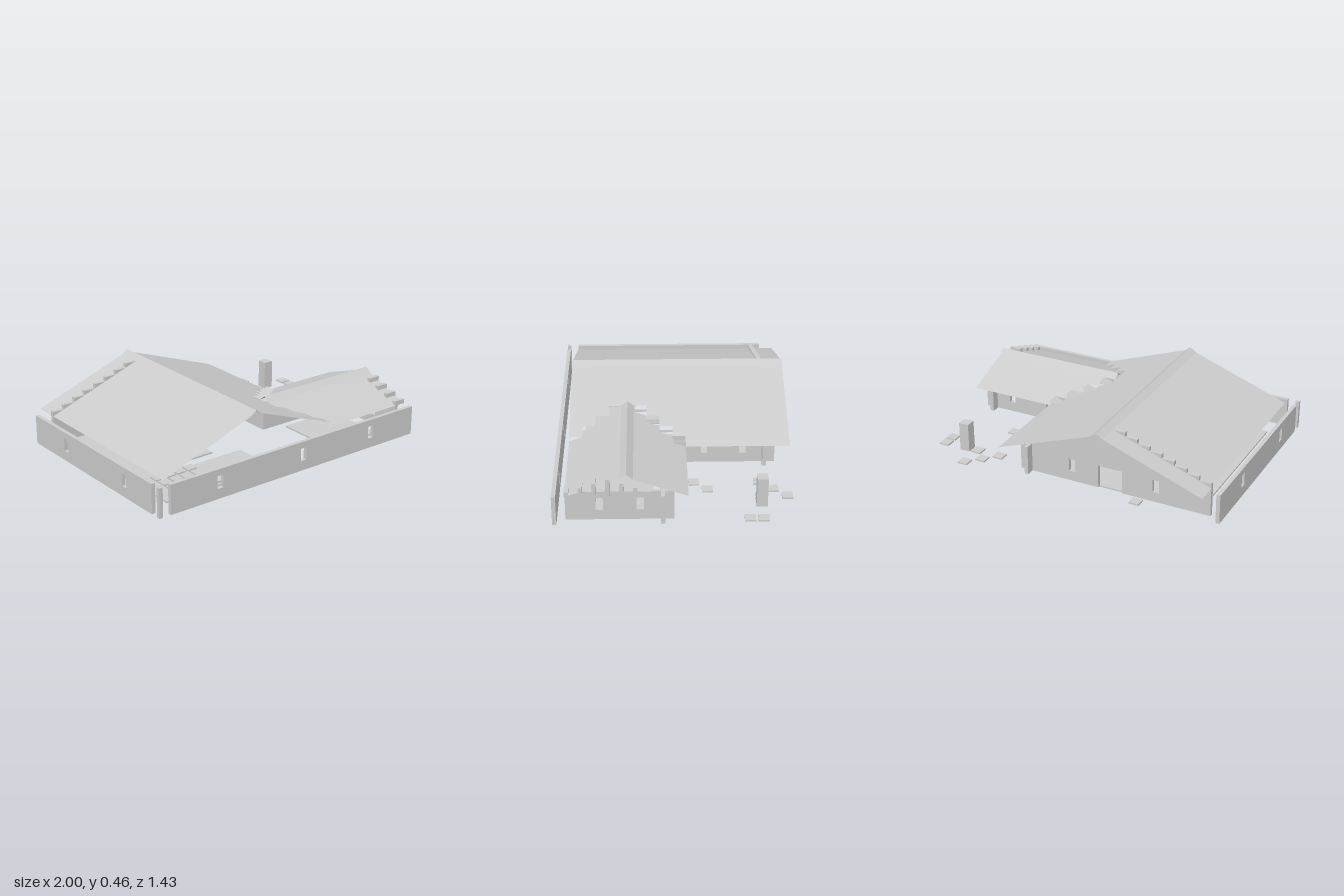
import * as THREE from 'three';

const U = 0.08;        // building grid
const RISE = 0.0288;   // roof rise per grid step
const EAVE = 0.2;
const T = 0.025;       // wall thickness

export function createModel() {
  const model = new THREE.Group();
  const mat = new THREE.MeshStandardMaterial({ color: 0xcccccc, flatShading: true });
  const sheet = new THREE.MeshStandardMaterial({ color: 0xcccccc, flatShading: true, side: THREE.DoubleSide });

  const group = (name) => {
    const g = new THREE.Group();
    g.name = name;
    model.add(g);
    return g;
  };

  // Box given by its minimum and maximum corners
  const box = (name, x0, x1, y0, y1, z0, z1, parent = model) => {
    const m = new THREE.Mesh(new THREE.BoxGeometry(x1 - x0, y1 - y0, z1 - z0), mat);
    m.position.set((x0 + x1) / 2, (y0 + y1) / 2, (z0 + z1) / 2);
    m.name = name;
    parent.add(m);
  };

  // Thin four-cornered roof sheet
  const quad = (name, a, b, c, d, parent) => {
    const g = new THREE.BufferGeometry();
    g.setAttribute('position', new THREE.Float32BufferAttribute([...a, ...b, ...c, ...a, ...c, ...d], 3));
    g.computeVertexNormals();
    const m = new THREE.Mesh(g, sheet);
    m.name = name;
    parent.add(m);
  };

  // Wall with windows and an optional door, along x or z from u0 to u1
  const rect = (C, a, b, y0, y1) => {
    const s = new C();
    s.moveTo(a, y0); s.lineTo(b, y0); s.lineTo(b, y1); s.lineTo(a, y1); s.closePath();
    return s;
  };
  const wall = (name, axis, at, u0, u1, windows, door) => {
    let s = rect(THREE.Shape, u0, u1, 0.01, EAVE);
    if (door !== undefined) {
      s = new THREE.Shape();
      [[u0, 0.01], [door - U, 0.01], [door - U, 0.16], [door + U, 0.16], [door + U, 0.01],
        [u1, 0.01], [u1, EAVE], [u0, EAVE]].forEach(([x, y], i) => (i ? s.lineTo(x, y) : s.moveTo(x, y)));
      s.closePath();
    }
    for (const w of windows) s.holes.push(rect(THREE.Path, w - 0.022, w + 0.022, 0.075, 0.158));
    const m = new THREE.Mesh(new THREE.ExtrudeGeometry(s, { depth: T, bevelEnabled: false }), mat);
    if (axis === 'x') m.position.z = at;
    else {
      m.rotation.y = -Math.PI / 2;
      m.position.x = at + T;
    }
    m.name = name;
    model.add(m);
  };

  // Walls
  wall('frontWall', 'x', 0.69, -0.92, 1, [-0.565, 0.075, 0.635]);
  wall('outerSideWall', 'z', -1, -0.64, 0.64, [-0.28, 0.36]);
  wall('backWall', 'x', -0.585, -0.92, 0.36, [-0.565, 0.0], -0.26);
  wall('mainSideWall', 'z', 0.28, -0.64, 0.08, [-0.2, -0.44]);
  wall('wingBackWall', 'x', 0.055, 0.28, 1, [0.52, 0.8]);
  wall('wingEndWall', 'z', 0.92, 0, 0.64, [0.2, 0.44]);
  box('cornerPost', -1, -0.975, 0.01, EAVE, 0.69, 0.715);

  // Stepped columns of the back gable
  const gable = group('backGable');
  for (let i = 0; i < 15; i++) {
    const steps = 8 - Math.abs(i - 7);
    box('gableColumn', -0.92 + i * U, -0.84 + i * U, EAVE, EAVE + steps * RISE, -0.585, -0.56, gable);
  }

  // Slats in the wing gable
  const slats = group('wingGableSlats');
  for (let i = 0; i < 7; i++) {
    const steps = 4 - Math.abs(i - 3);
    const z = 0.135 + i * U;
    box('gableSlat', 0.92, 1, EAVE, EAVE + steps * RISE, z, z + T, slats);
  }

  // Main roof: full outer slope, ridge cap, inner slope cut in steps around the wing
  const mainRoof = group('mainRoof');
  const Z0 = -0.72, Z1 = 0.64, TOP = EAVE + 8 * RISE, RIDGE = 0.46;
  const slopeX = (name, xa, ya, xb, yb, z0, z1) =>
    quad(name, [xa, ya, z1], [xb, yb, z1], [xb, yb, z0], [xa, ya, z0], mainRoof);
  const innerY = (x) => EAVE + (0.44 - x) / U * RISE;
  slopeX('outerSlope', -0.92, EAVE, -0.28, TOP, Z0, Z1);
  slopeX('ridgeCap', -0.28, TOP, -0.24, RIDGE, Z0, Z1);
  slopeX('ridgeCap', -0.24, RIDGE, -0.2, TOP, Z0, Z1);
  slopeX('innerSlope', -0.2, TOP, 0.44, EAVE, Z0, -U);
  const edge = (i) => 0.36 - Math.min(i, 3, 8 - i) * U;   // stepped cut per strip
  for (let i = 0; i < 9; i++) {
    const x = edge(i), z = -U + i * U;
    slopeX('innerSlope', -0.2, TOP, x, innerY(x), z, z + U);
    // Upturned valley tiles beside the back slope of the wing
    if (i < 4) slopeX('valleyTile', x, innerY(x + U), x + U, innerY(x), z, z + U);
  }

  // Wing roof, laid in strips that rise to a ridge cap
  const wingRoof = group('wingRoof');
  const slopeZ = (name, x, za, ya, zb, yb) =>
    quad(name, [x, yb, zb], [1, yb, zb], [1, ya, za], [x, ya, za], wingRoof);
  for (let i = 0; i < 4; i++) {
    const y0 = EAVE + i * RISE, y1 = y0 + RISE;
    slopeZ('wingBackSlope', 0.44 - i * U, -U + i * U, y0, i * U, y1);
    slopeZ('wingFrontSlope', 0.36 - i * U, 0.56 - i * U, y1, 0.64 - i * U, y0);
  }
  const wingTop = EAVE + 4 * RISE;
  slopeZ('wingRidgeCap', 0.12, 0.24, wingTop, 0.28, 0.347);
  slopeZ('wingRidgeCap', 0.12, 0.28, 0.347, 0.32, wingTop);

  // Floors with an open channel around the middle platform
  const floors = group('floors');
  box('rearFloor', -0.84, 0.28, 0, 0.01, -0.56, -0.16, floors);
  box('frontFloor', -0.84, -0.04, 0, 0.01, 0.24, 0.56, floors);
  box('sideFloor', -0.84, -0.52, 0, 0.01, -0.16, 0.24, floors);
  box('middlePlatform', -0.44, -0.2, 0, 0.01, -0.08, 0.16, floors);
  box('wingFloor', 0.44, 0.84, 0, 0.01, 0.12, 0.56, floors);

  // Square paving tiles inside and stepping stones in the yard
  const tiles = group('pavingTiles');
  const tile = (name, x, z) => box(name, x - 0.033, x + 0.033, 0.01, 0.02, z - 0.033, z + 0.033, tiles);
  for (let i = 0; i < 4; i++)
    for (let j = 0; j < 4; j++) tile('floorTile', -0.7 + i * U, 0.27 + j * U);
  for (const [x, z] of [[0.555, -0.525], [0.635, -0.605], [0.715, -0.685], [0.715, -0.525],
    [0.955, -0.525], [0.955, -0.445], [0.635, -0.205], [0.555, -0.125], [-0.46, -0.64]])
    tile('steppingStone', x, z);

  // Free-standing pillar in the yard
  box('yardPillar', 0.762, 0.828, 0.01, EAVE, -0.558, -0.492);

  return model;
}
